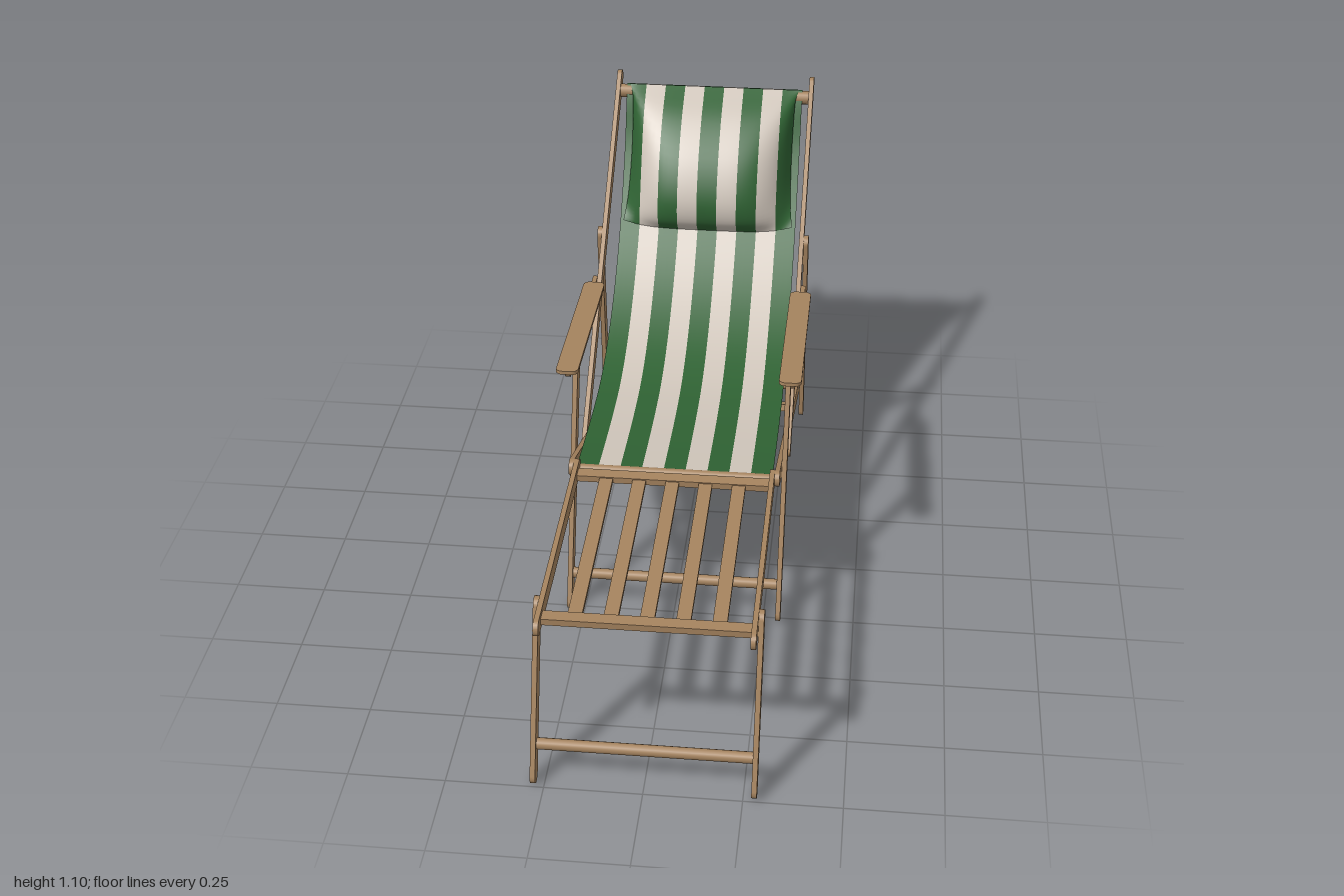
import * as THREE from 'three';

const mat = (name, color, side = THREE.FrontSide) => {
  const m = new THREE.MeshStandardMaterial({ color, side });
  m.name = name;
  return m;
};

export function createModel() {
  const root = new THREE.Group();
  root.name = 'deckChair';
  const wood = mat('wood', 0xa6845f);
  const green = mat('greenCanvas', 0x2f6233, THREE.DoubleSide);
  const cream = mat('creamCanvas', 0xd0c6bb, THREE.DoubleSide);

  const add = (name, geo, material = wood) => {
    const m = new THREE.Mesh(geo, material);
    m.name = name;
    root.add(m);
    return m;
  };

  // Round-ended wooden rails drawn in the side plane (z, y), one per side
  const R = 0.022;
  const rails = (name, z1, y1, z2, y2, xOuter, t = 0.0135) => {
    const a = Math.atan2(y2 - y1, z2 - z1), h = Math.PI / 2;
    const s = new THREE.Shape();
    s.absarc(z2, y2, R, a - h, a + h, false);
    s.absarc(z1, y1, R, a + h, a + 3 * h, false);
    s.closePath();
    for (const side of [1, -1]) {
      const g = new THREE.ExtrudeGeometry(s, { depth: t, bevelEnabled: false, curveSegments: 10 });
      g.rotateY(-h);
      g.translate(side > 0 ? xOuter : -xOuter + t, 0, 0);
      add((side > 0 ? 'left' : 'right') + name, g);
    }
  };
  rails('FootrestRail', 0.92, 0.445, 0.235, 0.46, 0.271);
  rails('FootrestLeg', 0.83, 0.445, 0.978, 0.024, 0.2845);
  rails('BaseRail', 0.235, 0.46, -0.97, 0.026, 0.2845);
  rails('BackRail', -0.09, 0.345, -0.976, 1.083, 0.298);
  rails('FrontLeg', 0.02, 0.665, 0.255, 0.024, 0.298);
  rails('ArmRail', 0.08, 0.675, -0.455, 0.65, 0.3115);
  rails('BackProp', -0.58, 0.75, -0.638, 0.145, 0.3115);

  // Round cross bars
  const dowel = (name, z, y, r, halfWidth) => {
    const g = new THREE.CylinderGeometry(r, r, halfWidth * 2, 16);
    g.rotateZ(Math.PI / 2);
    g.translate(0, y, z);
    add(name, g);
  };
  dowel('footrestLegBar', 0.95, 0.102, 0.015, 0.272);
  dowel('frontLegBar', 0.228, 0.102, 0.015, 0.286);
  dowel('baseRearBar', -0.945, 0.038, 0.013, 0.272);
  dowel('seatFrontBar', 0.222, 0.448, 0.013, 0.272);
  dowel('backTopBar', -0.944, 1.053, 0.02, 0.286);

  // Flat boards lying between two points of the side plane
  const board = (name, x, w, t, z1, y1, z2, y2) => {
    const g = new THREE.BoxGeometry(w, t, Math.hypot(z2 - z1, y2 - y1));
    g.rotateX(-Math.atan2(y2 - y1, z2 - z1));
    g.translate(x, (y1 + y2) / 2, (z1 + z2) / 2);
    add(name, g);
  };
  board('footrestInnerBar', 0, 0.518, 0.018, 0.25, 0.458, 0.286, 0.457);
  board('footrestOuterBar', 0, 0.518, 0.018, 0.865, 0.446, 0.9, 0.445);
  for (let i = -2; i <= 2; i++)
    board('footrestSlat', i * 0.089, 0.036, 0.012, 0.28, 0.457, 0.87, 0.446);
  board('baseSlatBar', 0, 0.545, 0.02, -0.665, 0.136, -0.62, 0.152);
  for (let i = -1; i <= 1; i++)
    board('baseSlat', i * 0.185, 0.091, 0.01, -0.63, 0.155, 0.205, 0.442);

  // Armrests: thin rounded boards on the arm rails
  const w = 0.03, l = 0.277, c = 0.018;
  const arm = new THREE.Shape();
  arm.absarc(w - c, l - c, c, 0, Math.PI / 2);
  arm.absarc(-w + c, l - c, c, Math.PI / 2, Math.PI);
  arm.absarc(-w + c, -l + c, c, Math.PI, Math.PI * 1.5);
  arm.absarc(w - c, -l + c, c, Math.PI * 1.5, Math.PI * 2);
  arm.closePath();
  for (const side of [1, -1]) {
    const g = new THREE.ExtrudeGeometry(arm, { depth: 0.01, bevelEnabled: false, curveSegments: 6 });
    g.rotateX(-Math.PI / 2 - 0.045);
    g.translate(side * 0.3, 0.683, -0.13);
    add(side > 0 ? 'leftArmrest' : 'rightArmrest', g);
  }

  // Striped cloth: a grid over (x, t) whose columns are grouped by stripe
  const STRIPES = 9, HALF = 0.265, SUB = 4;
  const cloth = (name, halfWidth, rows, point) => {
    const xs = [];
    for (let i = 0; i <= STRIPES * SUB; i++) {
      const x = -HALF + (2 * HALF * i) / (STRIPES * SUB);
      xs.push(THREE.MathUtils.clamp(x, -halfWidth, halfWidth));
    }
    const pos = [], idx = [], g = new THREE.BufferGeometry();
    for (const x of xs)
      for (let j = 0; j <= rows; j++) pos.push(...point(x, j / rows));
    for (let s = 0; s < STRIPES; s++) {
      const start = idx.length;
      for (let i = s * SUB; i < (s + 1) * SUB; i++) {
        if (xs[i] === xs[i + 1]) continue;
        for (let j = 0; j < rows; j++) {
          const a = i * (rows + 1) + j, b = a + rows + 1;
          idx.push(a, b, b + 1, a, b + 1, a + 1);
        }
      }
      g.addGroup(start, idx.length - start, s % 2);
    }
    g.setAttribute('position', new THREE.Float32BufferAttribute(pos, 3));
    g.setIndex(idx);
    g.computeVertexNormals();
    add(name, g, [green, cream]);
  };
  const curve = (pts) => new THREE.CatmullRomCurve3(pts.map(([z, y]) => new THREE.Vector3(0, y, z)));

  // Sagging sling from the seat front bar to over the top bar
  const sling = curve([[0.222, 0.463], [0.05, 0.449], [-0.1, 0.442], [-0.25, 0.448], [-0.4, 0.487],
    [-0.55, 0.563], [-0.68, 0.665], [-0.78, 0.78], [-0.87, 0.92], [-0.925, 1.05],
    [-0.945, 1.076], [-0.966, 1.06], [-0.955, 1.032]]);
  cloth('sling', HALF, 48, (x, t) => {
    const p = sling.getPoint(t);
    return [x, p.y, p.z];
  });

  // Head pillow: bulges in the middle and meets the sling along its sides
  const pillowBack = curve([[-0.728, 0.725], [-0.78, 0.785], [-0.865, 0.92], [-0.92, 1.05], [-0.943, 1.078]]);
  const pillowFront = curve([[-0.722, 0.706], [-0.69, 0.745], [-0.685, 0.81], [-0.735, 0.92],
    [-0.83, 1.015], [-0.943, 1.078]]);
  cloth('headPillow', 0.255, 24, (x, t) => {
    const f = 1 - Math.pow(Math.abs(x) / 0.255, 4);
    const p = pillowBack.getPoint(t).lerp(pillowFront.getPoint(t), f);
    const taper = 1 - 0.05 * Math.sin(Math.PI * t) * Math.pow(Math.abs(x) / 0.255, 8);
    return [x * taper, p.y, p.z + 0.003];
  });

  return root;
}
